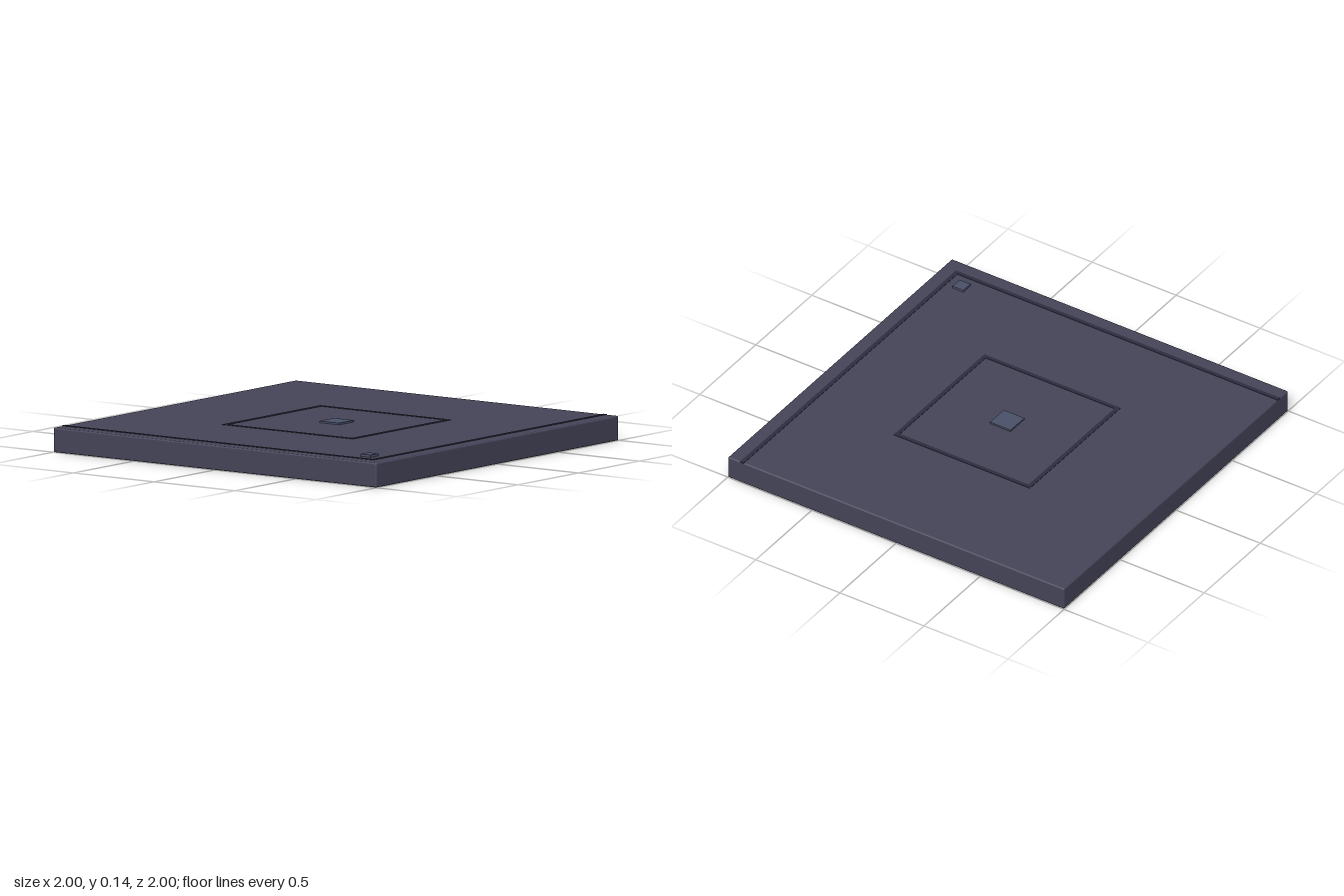
import * as THREE from 'three';
import { RoundedBoxGeometry } from 'three/addons/geometries/RoundedBoxGeometry.js';

const TOP = 0.123; // height of the slab's upper face
const STRIP = 0.022; // width of the inlaid strips

export function createModel() {
  const model = new THREE.Group();
  const slabMat = new THREE.MeshStandardMaterial({ color: 0x444458 });
  const stripMat = new THREE.MeshStandardMaterial({ color: 0x2d2d40 });
  const padMat = new THREE.MeshStandardMaterial({ color: 0x4a5068 });

  // Thin block set into the slab, rising a little above its upper face
  function raised(name, x0, x1, z0, z1, rise, material, parent = model) {
    const sink = 0.006;
    const mesh = new THREE.Mesh(new THREE.BoxGeometry(x1 - x0, rise + sink, z1 - z0), material);
    mesh.position.set((x0 + x1) / 2, TOP + (rise - sink) / 2, (z0 + z1) / 2);
    mesh.name = name;
    parent.add(mesh);
  }

  // Floor slab with softly rounded edges
  const slab = new THREE.Mesh(new RoundedBoxGeometry(2, TOP, 2, 2, 0.008), slabMat);
  slab.position.y = TOP / 2;
  slab.name = 'slab';
  model.add(slab);

  // Border strips along the front and left edges, meeting at one corner
  const outer = 0.927, inner = outer - STRIP;
  raised('frontBorderStrip', -1, outer, inner, outer, 0.002, stripMat);
  raised('leftBorderStrip', inner, outer, -1, inner, 0.002, stripMat);

  // Square frame around the centre
  const frame = new THREE.Group();
  frame.name = 'centreFrame';
  const a = -0.39, b = 0.42;
  for (const z of [a, b - STRIP]) raised('frameStripAcross', a, b, z, z + STRIP, 0.002, stripMat, frame);
  for (const x of [a, b - STRIP]) raised('frameStripAlong', x, x + STRIP, a + STRIP, b - STRIP, 0.002, stripMat, frame);
  model.add(frame);

  // Raised pads
  raised('centrePad', -0.046, 0.076, -0.046, 0.076, 0.009, padMat);
  raised('cornerPad', 0.797, 0.86, 0.797, 0.86, 0.012, padMat);

  return model;
}
